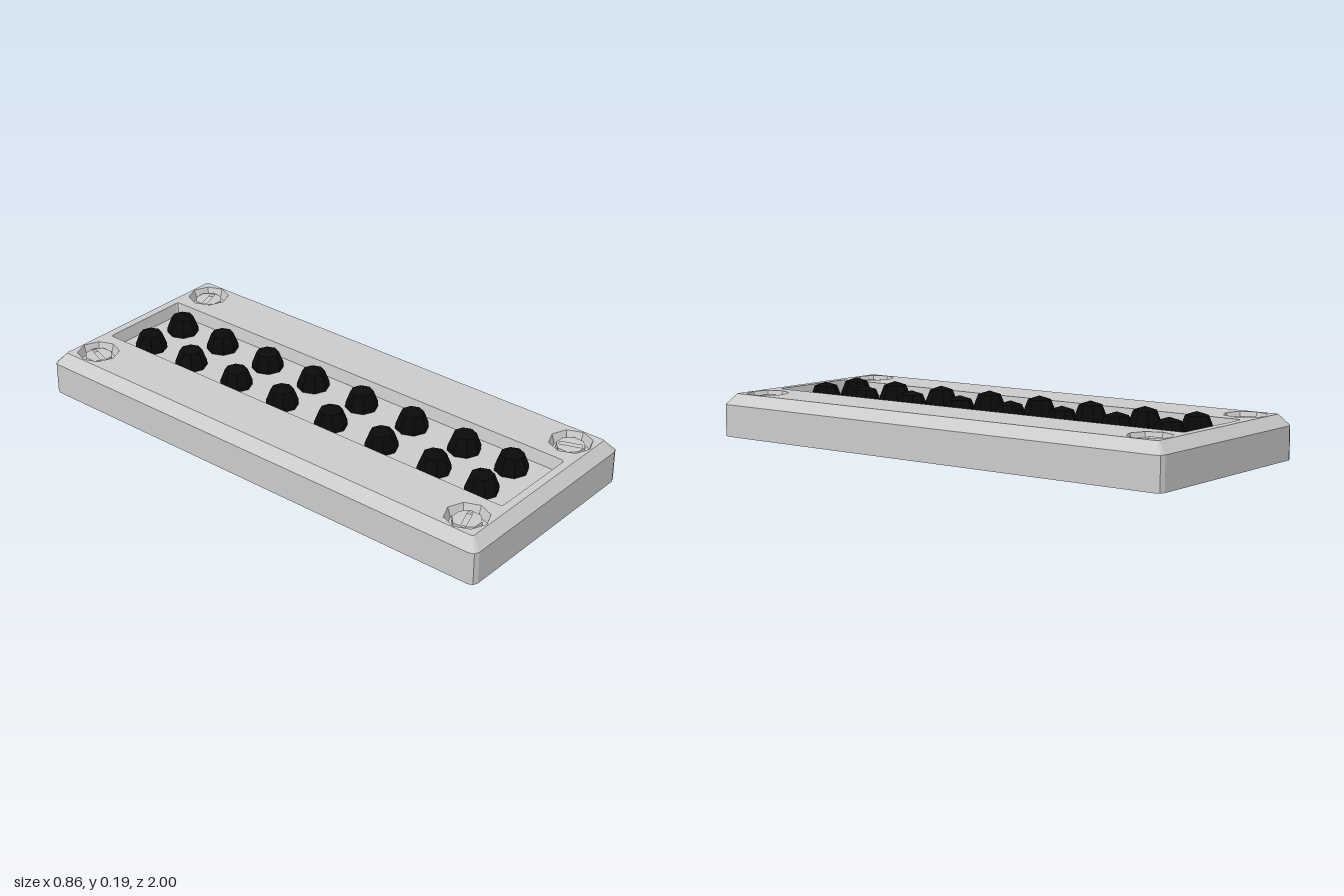
import * as THREE from 'three';

const grey = new THREE.MeshStandardMaterial({ color: 0xcccccc, flatShading: true });
const black = new THREE.MeshStandardMaterial({ color: 0x0a0a0a, flatShading: true });

const TOP = 0.165;
const SCREW_X = 0.308, SCREW_Z = 0.877;

// Closed outline of [x, z] points: rectangle with rounded corners.
function rectRing(hx, hz, r, segs = 2) {
  const pts = [];
  [[1, 1], [-1, 1], [-1, -1], [1, -1]].forEach(([sx, sz], corner) => {
    for (let i = 0; i <= segs; i++) {
      const a = (corner + i / segs) * Math.PI / 2;
      pts.push([sx * (hx - r) + r * Math.cos(a), sz * (hz - r) + r * Math.sin(a)]);
    }
  });
  return pts;
}

// Regular octagon outline.
function octagon(r, cx = 0, cz = 0) {
  return Array.from({ length: 8 }, (_, i) => {
    const a = i * Math.PI / 4;
    return [cx + r * Math.cos(a), cz + r * Math.sin(a)];
  });
}

// Shape whose y is -z, ready to be laid flat.
const toShape = (ring) => new THREE.Shape(ring.map(([x, z]) => new THREE.Vector2(x, -z)));

// Joins a stack of [outline, y] levels; null collapses the level to its centre.
function loft(levels) {
  const n = levels.find(([ring]) => ring)[0].length;
  const full = levels.map(([ring, y]) =>
    Array.from({ length: n }, (_, i) => (ring ? [ring[i][0], y, ring[i][1]] : [0, y, 0])));
  const pos = [];
  for (let k = 0; k < full.length - 1; k++) {
    for (let i = 0; i < n; i++) {
      const j = (i + 1) % n;
      const a = full[k], b = full[k + 1];
      if (levels[k][0]) pos.push(...a[i], ...b[i], ...a[j]);
      if (levels[k + 1][0]) pos.push(...a[j], ...b[i], ...b[j]);
    }
  }
  const geo = new THREE.BufferGeometry();
  geo.setAttribute('position', new THREE.Float32BufferAttribute(pos, 3));
  geo.computeVertexNormals();
  return geo;
}

function add(parent, name, geometry, material = grey) {
  const mesh = new THREE.Mesh(geometry, material);
  mesh.name = name;
  parent.add(mesh);
  return mesh;
}

// Slotted octagonal screw head sitting in a tapered well.
function makeScrew(angle) {
  const screw = new THREE.Group();
  screw.name = 'cornerScrew';
  add(screw, 'screwWell', loft([[octagon(0.08), TOP], [octagon(0.068), 0.13], [null, 0.13]]));

  const head = toShape(octagon(0.053));
  head.holes.push(toShape(rectRing(0.042, 0.009, 0.001, 1)));
  const headGeo = new THREE.ExtrudeGeometry(head, { depth: 0.022, bevelEnabled: false });
  headGeo.rotateX(-Math.PI / 2);
  const headMesh = add(screw, 'slottedHead', headGeo);
  headMesh.position.y = 0.13;
  headMesh.rotation.y = angle;
  return screw;
}

export function createModel() {
  const model = new THREE.Group();
  model.name = 'studdedBlock';

  // Outer shell: underside, upright sides and sloped shoulder
  const topRing = rectRing(0.393, 0.963, 0.008);
  add(model, 'bodyShell', loft([
    [null, 0],
    [rectRing(0.43, 1, 0.025), 0],
    [rectRing(0.43, 1, 0.025), 0.124],
    [topRing, TOP],
  ]));

  // Top face with openings for the tray and the screw wells
  const trayRing = rectRing(0.186, 0.932, 0.012);
  const face = toShape(topRing);
  face.holes.push(toShape(trayRing));
  for (const sx of [-1, 1]) {
    for (const sz of [-1, 1]) face.holes.push(toShape(octagon(0.08, sx * SCREW_X, sz * SCREW_Z)));
  }
  add(model, 'topFace', new THREE.ShapeGeometry(face).rotateX(-Math.PI / 2)).position.y = TOP;

  // Sunken tray
  add(model, 'tray', loft([
    [trayRing, TOP],
    [rectRing(0.179, 0.924, 0.01), 0.115],
    [null, 0.115],
  ]));

  // Two rows of faceted domes
  const domeProfile = [[0.061, 0.115], [0.061, 0.135], [0.043, 0.181], [0, 0.195]]
    .map(([r, y]) => new THREE.Vector2(r, y));
  const domeGeo = new THREE.LatheGeometry(domeProfile, 8);
  for (const z of [-0.81, -0.595, -0.36, -0.13, 0.105, 0.34, 0.575, 0.78]) {
    for (const x of [-0.09, 0.087]) add(model, 'stud', domeGeo, black).position.set(x, 0, z);
  }

  // Corner screws, each turned differently
  for (const [sx, sz, degrees] of [[-1, -1, 70], [1, -1, 20], [-1, 1, 20], [1, 1, 110]]) {
    const screw = makeScrew(THREE.MathUtils.degToRad(degrees));
    screw.position.set(sx * SCREW_X, 0, sz * SCREW_Z);
    model.add(screw);
  }
  return model;
}
